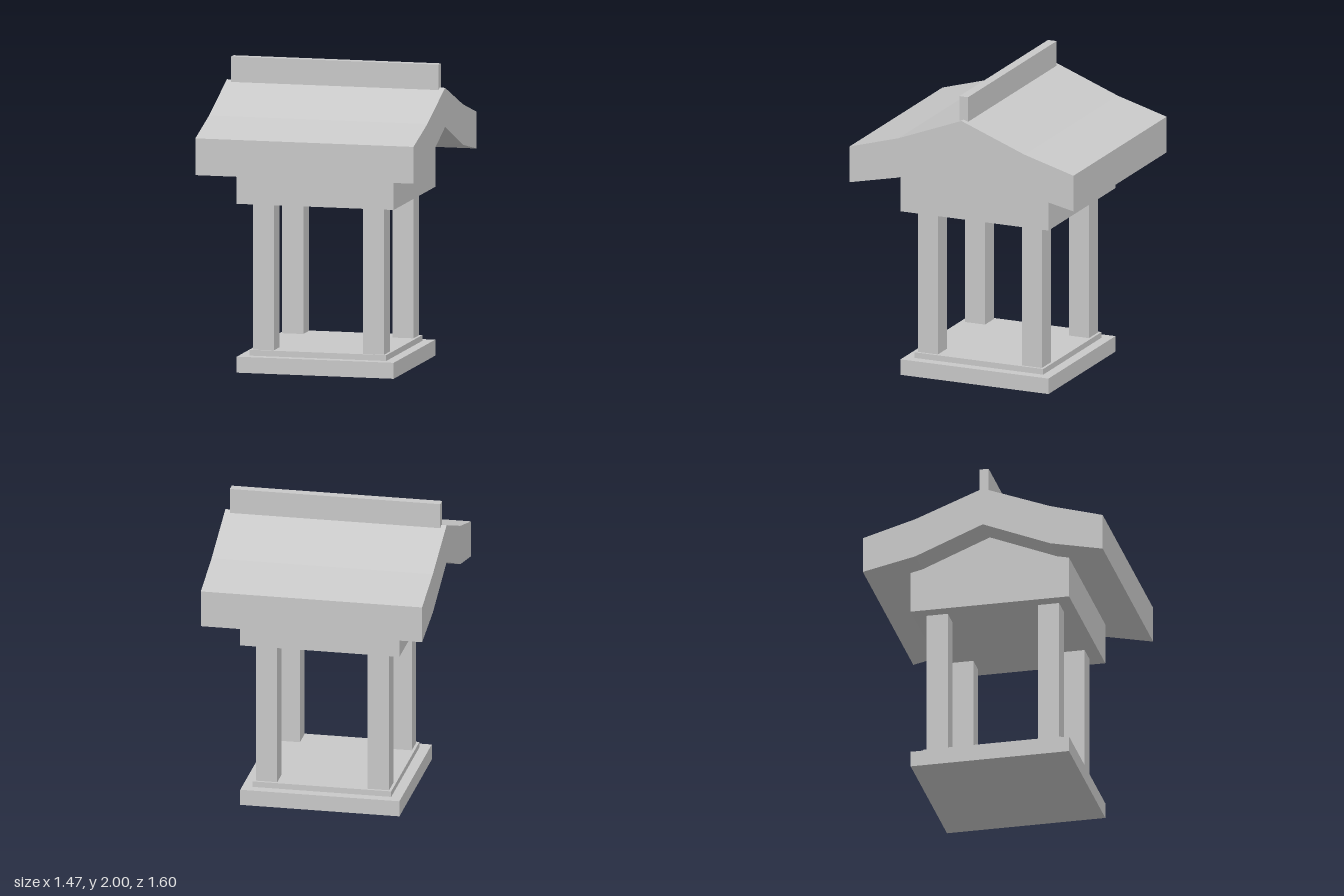
import * as THREE from 'three';

const stone = new THREE.MeshStandardMaterial({ color: 0xc8c8c8 });
stone.name = 'stone grey';

function add(group, name, geometry) {
  const mesh = new THREE.Mesh(geometry, stone);
  mesh.name = name;
  group.add(mesh);
  return mesh;
}

// Box resting at height y0 and reaching y1
function block(group, name, w, y0, y1, d, x = 0, z = 0) {
  add(group, name, new THREE.BoxGeometry(w, y1 - y0, d)).position.set(x, (y0 + y1) / 2, z);
}

// Extrude a [z, y] outline along x, centred on x = 0
function prism(group, name, outline, width) {
  const shape = new THREE.Shape(outline.map(([z, y]) => new THREE.Vector2(z, y)));
  const geometry = new THREE.ExtrudeGeometry(shape, { depth: width, bevelEnabled: false });
  geometry.translate(0, 0, -width / 2).rotateY(-Math.PI / 2);
  add(group, name, geometry);
}

export function createModel() {
  const model = new THREE.Group();
  model.name = 'pavilion';

  // Stepped base
  block(model, 'plinth', 1.056, 0, 0.105, 1.056);
  block(model, 'floor', 0.92, 0.105, 0.143, 0.92);

  // Four square pillars
  for (const x of [-1, 1]) {
    for (const z of [-1, 1]) {
      block(model, 'pillar', 0.142, 0.143, 1.11, 0.142, x * 0.371, z * 0.371);
    }
  }

  // Gabled beam block filling the space below the roof
  prism(model, 'gableBlock', [
    [-0.528, 1.11], [0.528, 1.11], [0.528, 1.388], [0.45, 1.405],
    [0, 1.588], [-0.45, 1.405], [-0.528, 1.388],
  ], 1.056);

  // Thick bent roof with flared eaves
  prism(model, 'roof', [
    [-0.8, 1.33], [-0.45, 1.405], [0, 1.588], [0.45, 1.405], [0.8, 1.33],
    [0.8, 1.572], [0.45, 1.672], [0, 1.845], [-0.45, 1.672], [-0.8, 1.572],
  ], 1.468);

  // Ridge beam
  block(model, 'ridge', 1.396, 1.832, 2, 0.062);

  return model;
}
